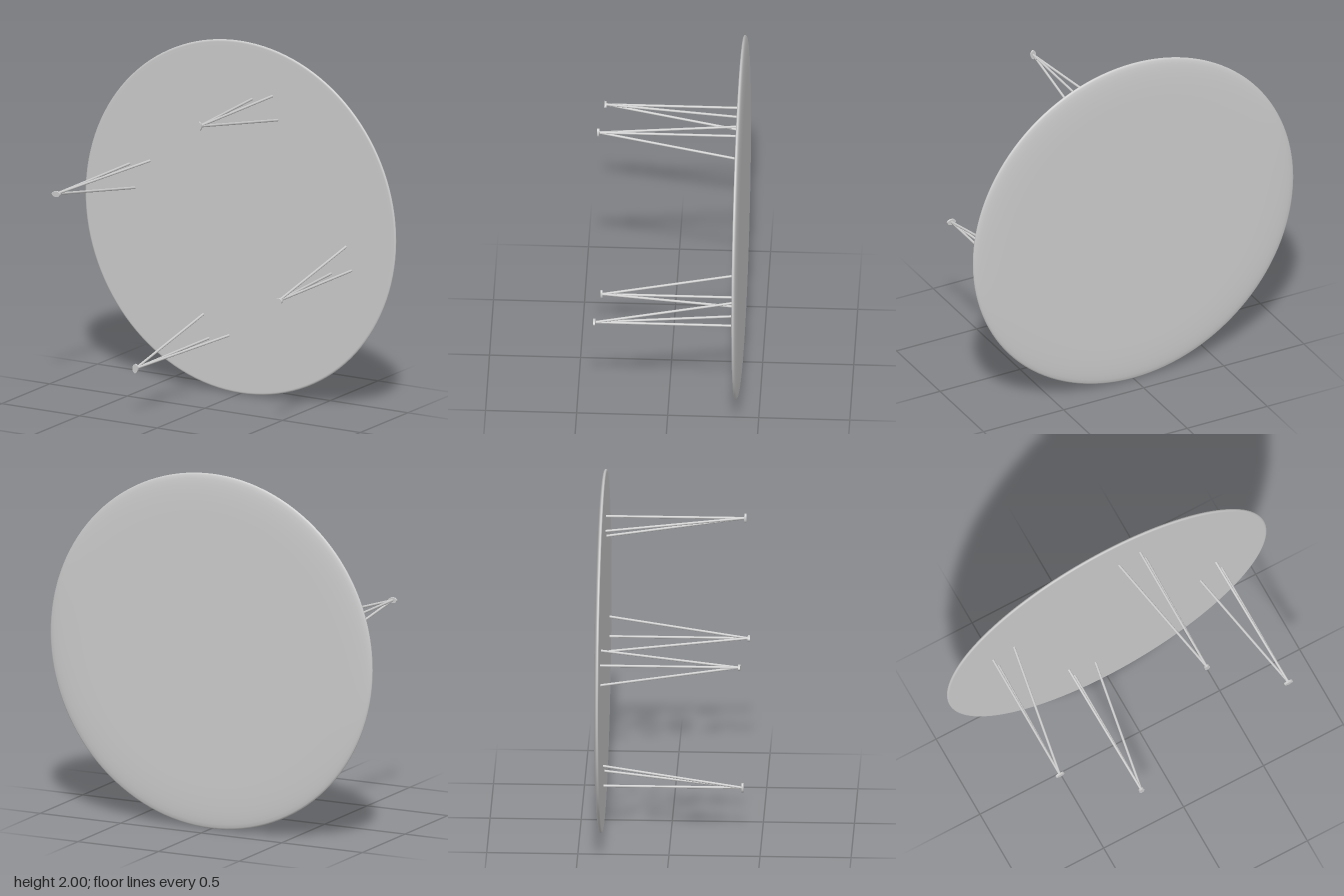
import * as THREE from 'three';

const material = new THREE.MeshStandardMaterial({ color: 0xcccccc });
const UNDERSIDE = -0.37; // z of the face the legs are fixed to
const FOOT = 0.4;        // z of the foot ends

function addMesh(parent, name, geometry) {
  const mesh = new THREE.Mesh(geometry, material);
  mesh.name = name;
  parent.add(mesh);
  return mesh;
}

// Thin round rod between two points
function addRod(parent, name, from, to) {
  const dir = to.clone().sub(from);
  const rod = addMesh(parent, name, new THREE.CylinderGeometry(0.007, 0.007, dir.length(), 16));
  rod.position.copy(from).add(to).multiplyScalar(0.5);
  rod.quaternion.setFromUnitVectors(new THREE.Vector3(0, 1, 0), dir.normalize());
}

// One leg: a straight rod and two splayed braces meeting at an oval foot
function createLeg() {
  const leg = new THREE.Group();
  leg.name = 'leg';
  const tip = new THREE.Vector3(0.205, 0.715, FOOT - 0.01);
  const ends = { uprightRod: [0, 0], sideBrace: [-0.132, -0.035], innerBrace: [0.035, -0.132] };
  for (const [name, [dx, dy]] of Object.entries(ends)) {
    addRod(leg, name, tip, new THREE.Vector3(tip.x + dx, tip.y + dy, UNDERSIDE - 0.005));
  }
  const pad = new THREE.CylinderGeometry(1, 1, 0.012, 32).rotateX(Math.PI / 2).scale(0.016, 0.026, 1);
  addMesh(leg, 'foot', pad).position.set(tip.x, tip.y, FOOT - 0.006);
  return leg;
}

export function createModel() {
  const table = new THREE.Group();
  table.name = 'roundTable';

  // Round top, flat on the underside, softly rounded towards the outer face
  const profile = [
    [0, 0.37], [0.97, 0.37], [0.988, 0.37], [0.993, 0.3705], [0.998, 0.373], [1, 0.377],
    [0.998, 0.382], [0.99, 0.387], [0.97, 0.391], [0.94, 0.3945], [0.9, 0.397],
    [0.85, 0.399], [0.79, 0.4], [0.75, 0.4], [0, 0.4],
  ].map(([r, h]) => new THREE.Vector2(r, h));
  addMesh(table, 'tabletop', new THREE.LatheGeometry(profile, 128).rotateX(-Math.PI / 2));

  // Four legs, each a quarter turn from the last
  for (let i = 0; i < 4; i++) {
    const leg = createLeg();
    leg.rotation.z = i * Math.PI / 2;
    table.add(leg);
  }

  table.position.y = 1;
  const model = new THREE.Group();
  model.name = 'model';
  model.add(table);
  return model;
}
